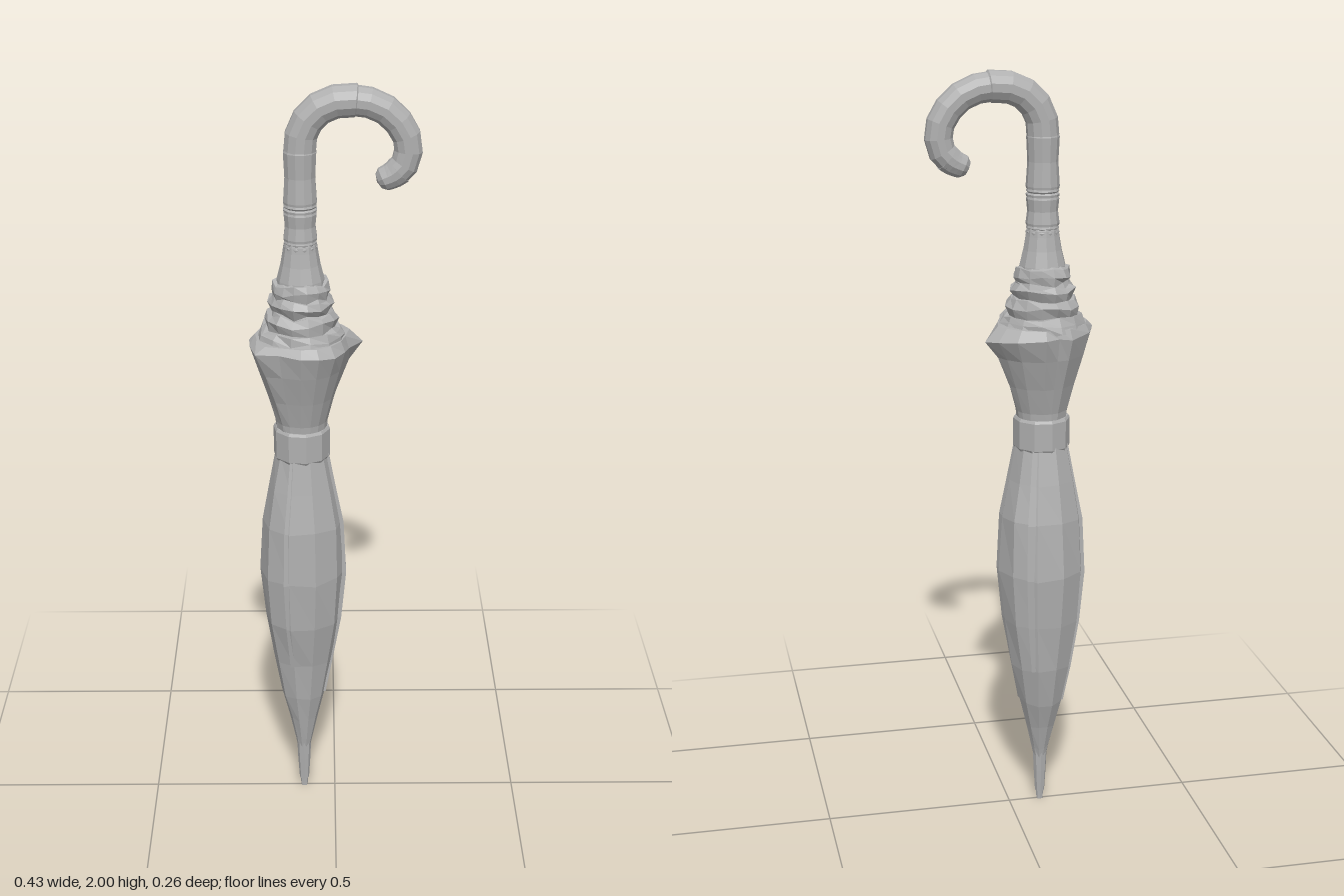
import * as THREE from 'three';

const grey = new THREE.MeshStandardMaterial({ color: 0xb0b0b0 });
grey.name = 'grey';
const AXIS = -0.086; // x of the shaft

// Small seeded generator for creases in the cloth
function seeded(seed) {
  return () => {
    seed = (seed * 16807) % 2147483647;
    return seed / 2147483647 - 0.5;
  };
}

// Skins closed rings of points (bottom to top) with flat facets
function loft(name, rings) {
  const n = rings[0].length, pos = [], index = [];
  rings.forEach(ring => ring.forEach(p => pos.push(...p)));
  for (let i = 0; i < rings.length - 1; i++) {
    for (let j = 0; j < n; j++) {
      const a = i * n + j, b = i * n + (j + 1) % n;
      index.push(a, a + n, b + n, a, b + n, b);
    }
  }
  let geo = new THREE.BufferGeometry();
  geo.setAttribute('position', new THREE.Float32BufferAttribute(pos, 3));
  geo.setIndex(index);
  geo = geo.toNonIndexed();
  geo.computeVertexNormals();
  const mesh = new THREE.Mesh(geo, grey);
  mesh.name = name;
  return mesh;
}

// Horizontal ring around the shaft, radius r, with optional jitter and z shift
function ring(y, r, n, { turn = 0, dz = 0, rand = null, amount = 0, lift = 0 } = {}) {
  return Array.from({ length: n }, (_, j) => {
    const a = (j / n) * Math.PI * 2 + turn;
    const rr = r * (1 + (rand ? rand() * amount : 0));
    return [AXIS + Math.cos(a) * rr, y + (rand ? rand() * lift : 0), dz + Math.sin(a) * rr];
  });
}

// Ring set across a path lying in the xy plane
function pathRing(p, t, r, n) {
  return Array.from({ length: n }, (_, j) => {
    const a = (j / n) * Math.PI * 2 + Math.PI / n;
    return [p.x + t.y * Math.cos(a) * r, p.y - t.x * Math.cos(a) * r, Math.sin(a) * r];
  });
}

export function createModel() {
  const group = new THREE.Group();
  group.name = 'umbrella';

  // Ferrule and tip
  group.add(loft('ferrule', [[0, 0], [0, 0.009], [0.03, 0.01], [0.03, 0]].map(([y, r]) => ring(y, r, 8))));
  group.add(loft('tip', [[0.025, 0], [0.025, 0.013], [0.09, 0.017], [0.16, 0.02], [0.2, 0.02]]
    .map(([y, r]) => ring(y, r, 8))));

  // Rolled canopy below the strap: height, radius, z shift
  const crease = seeded(41);
  const body = [
    [0.13, 0.017, 0], [0.16, 0.023, 0], [0.23, 0.039, -0.003], [0.31, 0.06, -0.008],
    [0.42, 0.08, -0.013], [0.55, 0.102, -0.007], [0.69, 0.115, -0.006], [0.84, 0.108, -0.005],
    [0.94, 0.088, -0.002], [1.04, 0.069, 0],
  ];
  group.add(loft('canopy', body.map(([y, r, dz]) =>
    ring(y, r, 10, { dz, rand: crease, amount: 0.05, lift: 0.008 }))));

  // Overlapping fold edges running down the canopy
  [[1.95, 0.42], [0.2, 0.31], [3.6, 0.31], [5.2, 0.42]].forEach(([a, from], k) => {
    const pos = [], index = [];
    const rows = body.filter(([y]) => y >= from);
    rows.forEach(([y, r, dz]) => {
      for (const [da, out] of [[-0.32, 0.94], [0.05, 1.04], [0.07, 0.94]]) {
        pos.push(AXIS + Math.cos(a + da) * r * out, y, dz + Math.sin(a + da) * r * out);
      }
    });
    for (let i = 0; i < rows.length - 1; i++) {
      for (let s = 0; s < 2; s++) {
        const p = i * 3 + s;
        index.push(p, p + 3, p + 4, p, p + 4, p + 1);
      }
    }
    let geo = new THREE.BufferGeometry();
    geo.setAttribute('position', new THREE.Float32BufferAttribute(pos, 3));
    geo.setIndex(index);
    geo = geo.toNonIndexed();
    geo.computeVertexNormals();
    const fold = new THREE.Mesh(geo, grey);
    fold.name = 'canopyFold' + (k + 1);
    group.add(fold);
  });

  // Strap
  group.add(loft('strap', [[1.025, 0.06], [1.025, 0.07], [1.032, 0.074], [1.105, 0.074], [1.112, 0.07], [1.112, 0.06]]
    .map(([y, r]) => ring(y, r, 10, { turn: 0.15 }))));

  // Flared hem: uneven outline as x, z, height
  const hem = [
    [0.035, 0.02, 1.33], [0.025, 0.06, 1.335], [0, 0.105, 1.335], [-0.04, 0.13, 1.34],
    [-0.085, 0.13, 1.34], [-0.14, 0.112, 1.345], [-0.2, 0.118, 1.35], [-0.215, 0.045, 1.345],
    [-0.218, -0.005, 1.345], [-0.197, -0.06, 1.34], [-0.14, -0.112, 1.335], [-0.105, -0.115, 1.34],
    [-0.068, -0.134, 1.34], [0.003, -0.115, 1.335], [0.045, -0.08, 1.33], [0.072, -0.045, 1.325],
  ];
  // Scales the hem outline towards a circle; mix 0 is round, 1 is the full outline
  const hemRing = (y, r, mix) => hem.map(([x, z, h]) => {
    const a = Math.atan2(z, x - AXIS), d = Math.hypot(x - AXIS, z);
    const rr = r + (d - 0.13) * mix;
    return [AXIS + Math.cos(a) * rr, y ?? h, Math.sin(a) * rr];
  });
  group.add(loft('hem', [
    hemRing(1.09, 0.064, 0), hemRing(1.13, 0.068, 0.05), hemRing(1.2, 0.087, 0.2),
    hemRing(1.28, 0.112, 0.45), hemRing(null, 0.13, 1), hemRing(1.362, 0.116, 0.35),
    hemRing(1.366, 0.07, 0),
  ]));

  // Gathered cloth under the handle
  const ruffle = seeded(977);
  group.add(loft('gatheredCloth', [
    [1.345, 0.115], [1.37, 0.113], [1.385, 0.102], [1.388, 0.088], [1.41, 0.094], [1.425, 0.082],
    [1.428, 0.074], [1.45, 0.085], [1.462, 0.072], [1.468, 0.068], [1.485, 0.075], [1.503, 0.068], [1.51, 0.05],
  ].map(([y, r]) => ring(y, r, 14, { rand: ruffle, amount: 0.1, lift: 0.014 }))));

  // Neck collar
  group.add(loft('neck', [[1.47, 0.064], [1.51, 0.06], [1.55, 0.05], [1.585, 0.044], [1.6, 0.042], [1.62, 0.036]]
    .map(([y, r]) => ring(y, r, 12))));

  // Straight grip: segments with slightly swollen ends
  [[1.59, 1.612], [1.612, 1.685], [1.685, 1.705], [1.705, 1.84]].forEach(([y0, y1], i) => {
    group.add(loft('gripSegment' + (i + 1), [
      [y0, 0.034], [y0, 0.042], [y0 + 0.006, 0.043], [(y0 + y1) / 2, 0.039],
      [y1 - 0.006, 0.042], [y1, 0.04], [y1, 0.034],
    ].map(([y, r]) => ring(y, r, 12, { turn: Math.PI / 12 }))));
  });

  // Curved hook: a thicker rear half and a thinner front half with a rounded end
  const curve = new THREE.CatmullRomCurve3([
    [AXIS, 1.835], [-0.08, 1.885], [-0.053, 1.928], [-0.01, 1.954], [0.05, 1.96], [0.11, 1.944],
    [0.155, 1.905], [0.178, 1.855], [0.171, 1.805], [0.145, 1.778], [0.118, 1.765],
  ].map(([x, y]) => new THREE.Vector3(x, y, 0)));
  const hook = (name, t0, t1, steps, radius) => {
    const rings = [];
    for (let i = 0; i <= steps; i++) {
      const t = t0 + (t1 - t0) * i / steps, p = curve.getPoint(t), d = curve.getTangent(t);
      if (i === 0) rings.push(pathRing(p, d, 0, 12));
      rings.push(pathRing(p, d, radius(i / steps), 12));
      if (i === steps) {
        const end = p.clone().addScaledVector(d, 0.012);
        rings.push(pathRing(end, d, radius(1) * 0.65, 12), pathRing(end.addScaledVector(d, 0.005), d, 0, 12));
      }
    }
    group.add(loft(name, rings));
  };
  hook('hookRear', 0, 0.4, 5, () => 0.041);
  hook('hookFront', 0.38, 0.88, 7, s => 0.038 - 0.003 * s);
  hook('hookEnd', 0.86, 1, 3, s => 0.036 - 0.006 * s);

  return group;
}
